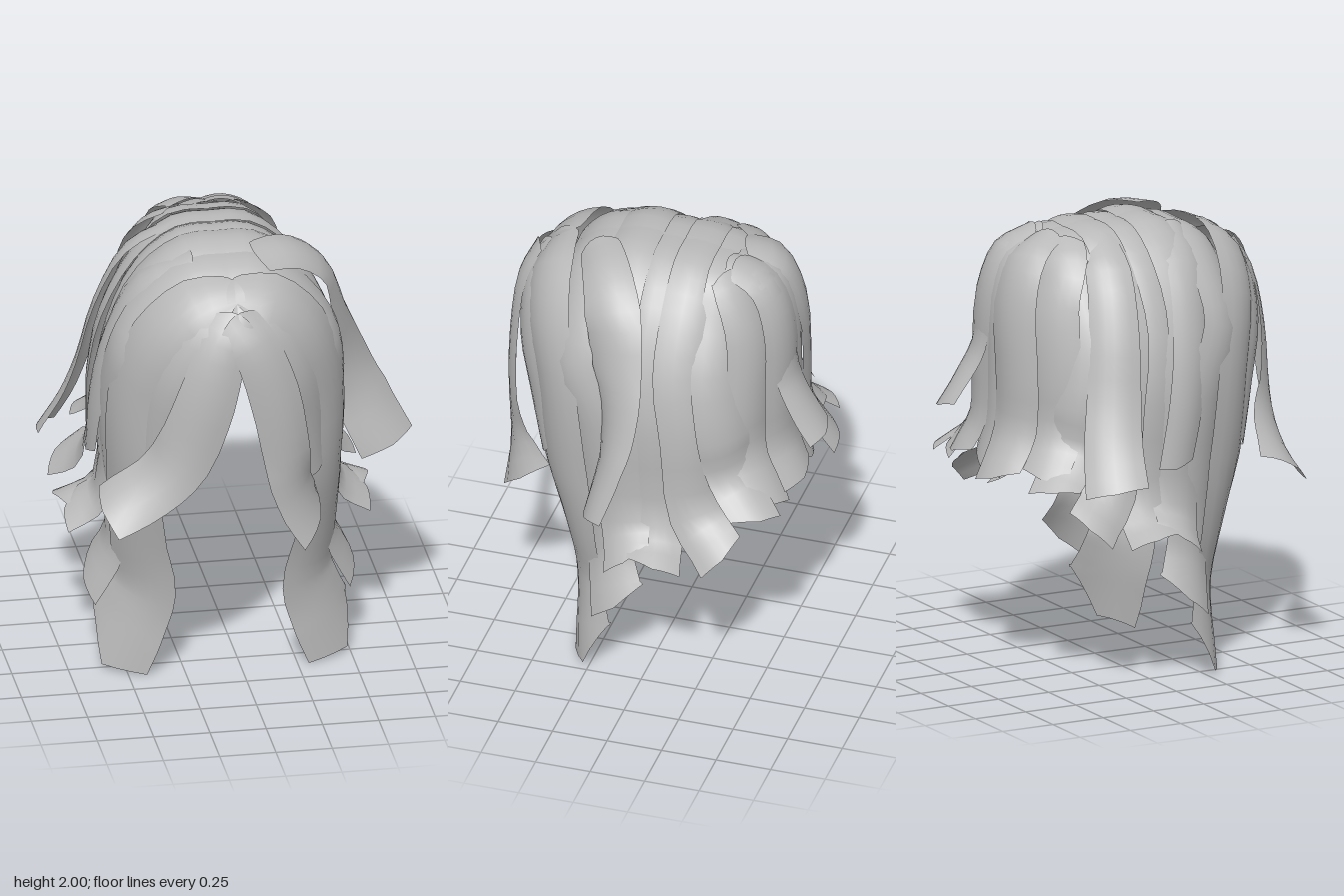
import * as THREE from 'three';

const hair = new THREE.MeshStandardMaterial({ color: 0xb9b9b9, side: THREE.DoubleSide });
hair.name = 'hair grey';
const CX = -0.06; // parting line

// A curved ribbon of hair. Each path point is [x, y, z, half width, twist].
function lock(name, path, { slant = 0.3, bow = 0.28, lift = 0, point = 0.2 } = {}) {
  const curve = new THREE.CatmullRomCurve3(path.map(p => new THREE.Vector3(p[0], p[1], p[2])), false, 'centripetal');
  const spans = path.length - 1, rows = spans * 3, cols = 6;
  const pos = [], index = [];
  for (let i = 0; i <= rows; i++) {
    const t = i / rows, k = Math.min(Math.floor(t * spans), spans - 1), f = t * spans - k;
    const w = THREE.MathUtils.lerp(path[k][3], path[k + 1][3], f);
    const twist = THREE.MathUtils.lerp(path[k][4] ?? 0, path[k + 1][4] ?? 0, f);
    const p = curve.getPoint(t), T = curve.getTangent(t);
    // Outward direction from the middle of the head
    const N = p.clone().sub(new THREE.Vector3(CX, Math.min(p.y, 1.3), 0.06));
    N.addScaledVector(T, -N.dot(T)).normalize().applyAxisAngle(T, twist);
    const S = T.clone().cross(N);
    for (let j = 0; j <= cols; j++) {
      const u = j / cols * 2 - 1;
      const v = p.clone().addScaledVector(S, u * w)
        .addScaledVector(N, lift - bow * w * u * u);
      if (i === rows) v.addScaledVector(T, w * (slant * u + point * (1 - Math.abs(u)))); // slanted, pointed tip
      if (i === 0) v.addScaledVector(T, 0.4 * w * u * u);                                // rounded root
      pos.push(v.x, v.y, v.z);
      if (i < rows && j < cols) {
        const a = i * (cols + 1) + j, c = a + cols + 1;
        index.push(a, a + 1, c, a + 1, c + 1, c);
      }
    }
  }
  const g = new THREE.BufferGeometry();
  g.setAttribute('position', new THREE.Float32BufferAttribute(pos, 3));
  g.setIndex(index);
  g.computeVertexNormals();
  const m = new THREE.Mesh(g, hair);
  m.name = name;
  return m;
}

export function createModel() {
  const model = new THREE.Group();
  model.name = 'layeredHair';
  const add = (name, path, opt) => model.add(lock(name, path, opt));

  // Same lock on both sides of the parting, x measured from the parting
  const pair = (name, path, opt = {}) => {
    for (const s of [1, -1]) {
      add((s > 0 ? 'left' : 'right') + name,
        path.map(([x, y, z, w, twist = 0]) => [CX + s * x, y, z, w, s * twist]),
        { ...opt, slant: s * (opt.slant ?? 0.3) });
    }
  };

  // Closed crown beneath the locks
  const crown = new THREE.Mesh(new THREE.SphereGeometry(1, 32, 12, 0, Math.PI * 2, 0, Math.PI * 0.36), hair);
  crown.scale.set(0.46, 0.54, 0.58);
  crown.position.set(CX, 1.42, 0.06);
  crown.name = 'crown';
  model.add(crown);

  // Long front locks that reach the ground
  pair('LongLock', [
    [-0.04, 1.89, 0.55, 0.1], [0.18, 1.85, 0.56, 0.15], [0.36, 1.65, 0.53, 0.17], [0.45, 1.32, 0.46, 0.17],
    [0.46, 0.95, 0.41, 0.16], [0.42, 0.62, 0.36, 0.15, 0.2], [0.39, 0.4, 0.33, 0.16, 0.3],
    [0.43, 0.27, 0.31, 0.17, 0.35], [0.49, 0.14, 0.29, 0.19, 0.35]], { slant: 0.35, point: 0.7 });

  // Forehead locks filling the space beside the fringe
  pair('ForeheadLock', [
    [-0.03, 1.83, 0.62, 0.1], [0.14, 1.74, 0.65, 0.13], [0.26, 1.5, 0.64, 0.13],
    [0.33, 1.25, 0.57, 0.11], [0.38, 1.0, 0.5, 0.07]]);

  // Fringe, parted at the front
  add('leftFringe', [
    [-0.08, 1.83, 0.65, 0.1], [0.01, 1.7, 0.71, 0.11], [0.1, 1.45, 0.725, 0.12], [0.16, 1.15, 0.71, 0.115],
    [0.2, 0.98, 0.68, 0.115, -0.2], [0.3, 0.82, 0.62, 0.16, -0.5]], { slant: 0.15, point: 0.1 });
  add('rightFringe', [
    [-0.05, 1.83, 0.65, 0.1], [-0.14, 1.7, 0.7, 0.11], [-0.22, 1.45, 0.72, 0.13], [-0.33, 1.18, 0.69, 0.14, 0.1],
    [-0.46, 1.04, 0.65, 0.14, 0.4], [-0.65, 0.93, 0.62, 0.15, 0.6]], { slant: 0, point: 0.1 });

  // Side locks from front to back:
  // [root z, top y, upper half width, hem x, hem y, hem z, tip x, tip y, tip z, tip half width, slant]
  const sides = [
    [0.37, 1.945, 0.43, 0.5, 0.6, 0.18, 0.59, 0.4, 0.12, 0.14, 0.45],
    [0.2, 1.985, 0.43, 0.53, 0.79, 0.09, 0.65, 0.68, 0.05, 0.11, 0.4],
    [0.02, 1.985, 0.43, 0.53, 0.79, -0.06, 0.68, 0.7, -0.09, 0.12, -0.3],
    [-0.16, 1.965, 0.41, 0.52, 0.88, -0.24, 0.62, 0.76, -0.38, 0.12, 0.3],
    [-0.32, 1.935, 0.35, 0.43, 1.06, -0.39, 0.52, 0.93, -0.52, 0.11, -0.3]];
  sides.forEach(([z, top, half, hx, hy, hz, tx, ty, tz, tw, slant], i) => {
    const w = 0.13;
    pair('SideLock' + (i + 1), [
      [-0.06, top - 0.01, z, w], [0.16, top - 0.02, z, w], [half - 0.08, top - 0.16, z, w],
      [half + 0.055, 1.55, z, w], [half + 0.1, 1.25, THREE.MathUtils.lerp(z, hz, 0.6), w],
      [hx, hy, hz, w * 0.9], [tx, ty, tz, tw]], { slant, lift: i % 2 ? 0.012 : 0 });
  });

  // Back locks fanned around the head: [root x, hem x, hem z, tip x, tip z, tip y]
  const backs = [
    [-0.3, -0.41, -0.43, -0.48, -0.53, 0.98], [-0.17, -0.24, -0.53, -0.27, -0.64, 0.94],
    [-0.06, -0.08, -0.55, -0.07, -0.6, 0.95], [0.05, 0.1, -0.53, 0.13, -0.61, 0.97],
    [0.15, 0.27, -0.44, 0.34, -0.54, 0.95]];
  backs.forEach(([rx, hx, hz, tx, tz, ty], i) => add('backLock' + (i + 1), [
    [rx * 0.6, 1.955, -0.28, 0.1], [rx, 1.88, hz + 0.09, 0.12], [(rx + hx) / 2, 1.68, hz + 0.01, 0.13],
    [hx, 1.35, hz, 0.13], [hx, 1.12, hz - 0.01, 0.13], [tx, ty, tz, 0.12]],
  { slant: i % 2 ? 0.3 : -0.3, lift: i % 2 ? 0.02 : 0 }));

  // Loose outer locks that flick away from the head
  add('leftLooseLock', [
    [0.06, 1.97, 0.34, 0.09], [0.24, 1.95, 0.25, 0.11], [0.4, 1.83, 0.17, 0.13], [0.49, 1.58, 0.13, 0.13, 0.2],
    [0.54, 1.35, 0.12, 0.14, 0.6], [0.59, 1.17, 0.14, 0.15, 0.9], [0.69, 0.95, 0.19, 0.145, 1.0]],
  { slant: 0, lift: 0.01, point: 0.1 });
  add('rightLooseLock', [
    [-0.22, 1.96, -0.12, 0.08], [-0.42, 1.84, -0.16, 0.1], [-0.55, 1.58, -0.2, 0.11],
    [-0.62, 1.3, -0.24, 0.12], [-0.69, 1.1, -0.28, 0.13], [-0.78, 0.94, -0.31, 0.14]],
  { slant: 0.1, lift: 0.005, point: 0.1 });
  add('rightTempleLock', [
    [-0.2, 1.96, 0.28, 0.07], [-0.42, 1.83, 0.23, 0.1], [-0.56, 1.55, 0.19, 0.1],
    [-0.62, 1.25, 0.13, 0.09], [-0.63, 0.98, 0.07, 0.08]], { slant: 0.4, lift: 0.01 });
  add('backLooseLock', [
    [0.02, 1.96, -0.25, 0.08], [0.05, 1.89, -0.44, 0.09], [0.06, 1.7, -0.52, 0.1],
    [0.07, 1.45, -0.55, 0.1], [0.09, 1.31, -0.62, 0.1], [0.1, 1.19, -0.7, 0.1]], { slant: 0.2, lift: 0.015 });

  return model;
}
